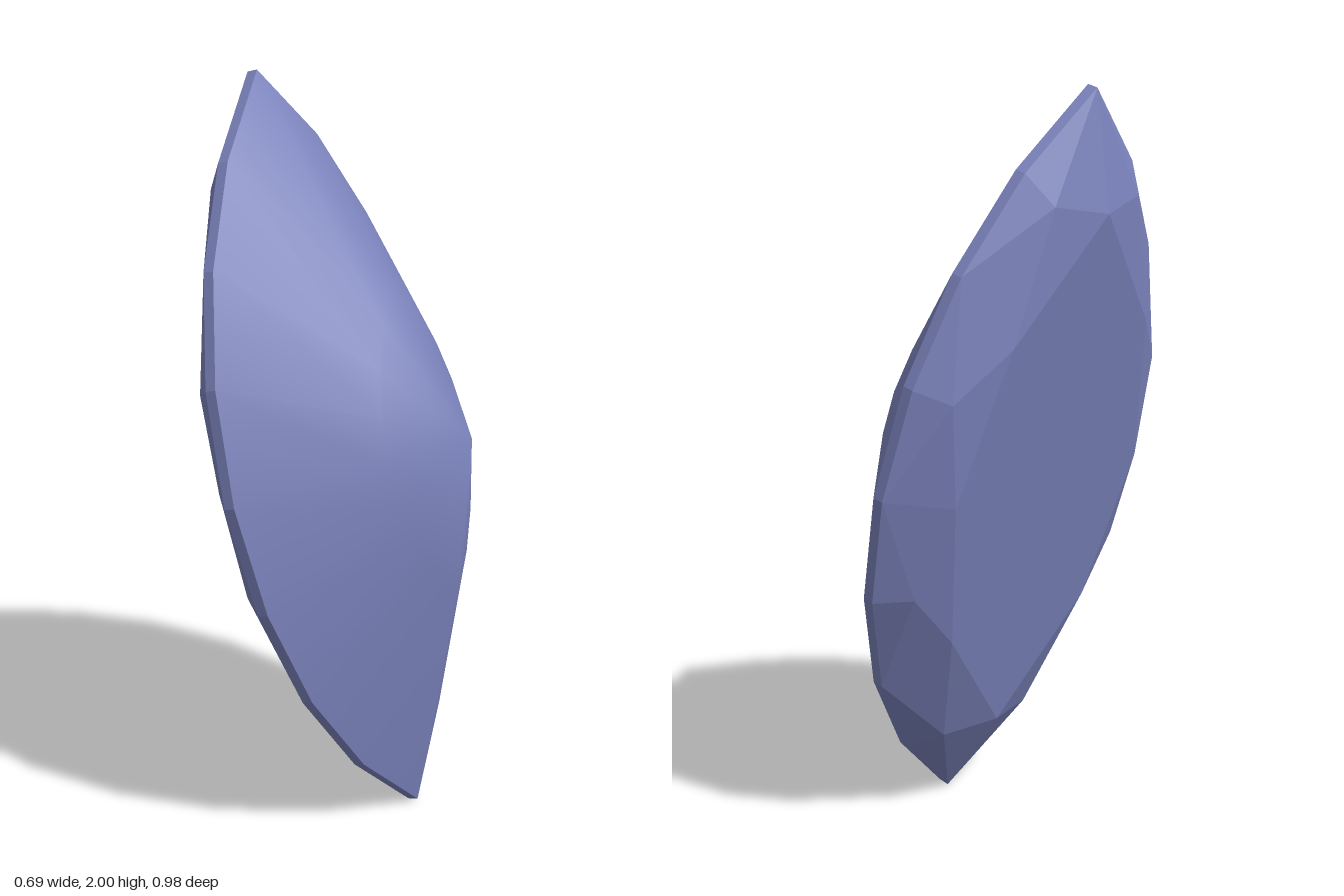
import * as THREE from 'three';

// Marquise-cut gem: local x = long axis, y = width, z = depth towards the pavilion point
const HALF_LENGTH = 1.025, HALF_WIDTH = 0.52, SIDES = 16;
const RADIUS = (HALF_LENGTH ** 2 + HALF_WIDTH ** 2) / (2 * HALF_WIDTH);
const HALF_ANGLE = Math.asin(HALF_LENGTH / RADIUS);

// Point i of the two-arc outline, scaled along each axis, at depth z
function outline(i, sx, sy, z) {
  const k = ((i % SIDES) + SIDES) % SIDES;
  const sign = k < 8 ? 1 : -1;
  const a = HALF_ANGLE * (1 - (k % 8) / 4);
  const x = RADIUS * Math.sin(a);
  const y = RADIUS * (Math.cos(a) - Math.cos(HALF_ANGLE));
  return [sign * x * sx, sign * y * sy, z];
}

function meshFrom(name, points, faces, smooth, material) {
  let geometry = new THREE.BufferGeometry();
  geometry.setAttribute('position', new THREE.Float32BufferAttribute(points.flat(), 3));
  geometry.setIndex(faces.flat());
  if (!smooth) geometry = geometry.toNonIndexed();
  geometry.computeVertexNormals();
  const mesh = new THREE.Mesh(geometry, material);
  mesh.name = name;
  return mesh;
}

export function createModel() {
  const group = new THREE.Group();
  group.name = 'gem';
  const material = new THREE.MeshStandardMaterial({ color: 0x7c84bd });
  const ring = (sx, sy, z) => Array.from({ length: SIDES }, (_, i) => outline(i, sx, sy, z));
  const next = (i) => (i + 1) % SIDES;

  // Pavilion: smooth, slightly bulged cone ending in a point
  const pavilion = [...ring(1, 1, 0.015), ...ring(0.4, 0.4, 0.285), [0, 0, 0.42]];
  const pavilionFaces = [];
  for (let i = 0; i < SIDES; i++) {
    const j = next(i);
    pavilionFaces.push([i, j, SIDES + j], [i, SIDES + j, SIDES + i], [SIDES + i, SIDES + j, 2 * SIDES]);
  }
  group.add(meshFrom('pavilion', pavilion, pavilionFaces, true, material));

  // Girdle: thin band around the widest outline
  const girdle = [...ring(1, 1, -0.015), ...ring(1, 1, 0.015)];
  const girdleFaces = [];
  for (let i = 0; i < SIDES; i++) {
    const j = next(i);
    girdleFaces.push([i, j, SIDES + j], [i, SIDES + j, SIDES + i]);
  }
  group.add(meshFrom('girdle', girdle, girdleFaces, false, material));

  // Crown: star, kite and girdle facets between the girdle and the table
  const crown = ring(1, 1, -0.015);
  const MID = SIDES, TABLE = SIDES + 8;
  for (let i = 0; i < 8; i++) {
    const nearTip = i % 4 === 0 || i % 4 === 3;
    crown.push(outline(2 * i + 1, 0.92, nearTip ? 0.78 : 0.85, -0.09));
  }
  for (let i = 0; i < 8; i++) crown.push(outline(2 * i, 0.72, 0.72, -0.132));
  const crownFaces = [], tableFaces = [];
  for (let i = 0; i < 8; i++) {
    const j = (i + 1) % 8;
    const mid = MID + i, midNext = MID + j, t = TABLE + i, tNext = TABLE + j;
    const g0 = 2 * i, g1 = 2 * i + 1, g2 = 2 * j;
    crownFaces.push(
      [t, tNext, mid],                           // star
      [tNext, g2, mid], [tNext, midNext, g2],    // kite
      [mid, g1, g0], [mid, g2, g1]               // upper girdle facets
    );
    if (i > 0 && i < 7) tableFaces.push([0, i + 1, i]);
  }
  // Wind every crown facet to face away from the gem's centre
  const v = (n) => new THREE.Vector3(...crown[n]);
  for (const f of crownFaces) {
    const a = v(f[0]);
    const normal = v(f[1]).sub(a).cross(v(f[2]).sub(a));
    if (normal.dot(a) < 0) f.reverse();
  }
  group.add(meshFrom('crown', crown, crownFaces, false, material));
  group.add(meshFrom('table', crown.slice(TABLE), tableFaces, false, material));

  // Lean the gem into its resting pose
  const long = new THREE.Vector3(-0.204, 0.971, 0.107).normalize();
  const depth = new THREE.Vector3(0.905, 0.238, -0.357);
  depth.addScaledVector(long, -depth.dot(long)).normalize();
  const width = new THREE.Vector3().crossVectors(depth, long);
  group.quaternion.setFromRotationMatrix(new THREE.Matrix4().makeBasis(long, width, depth));
  group.position.set(-0.04, 1, 0.005);
  return group;
}
